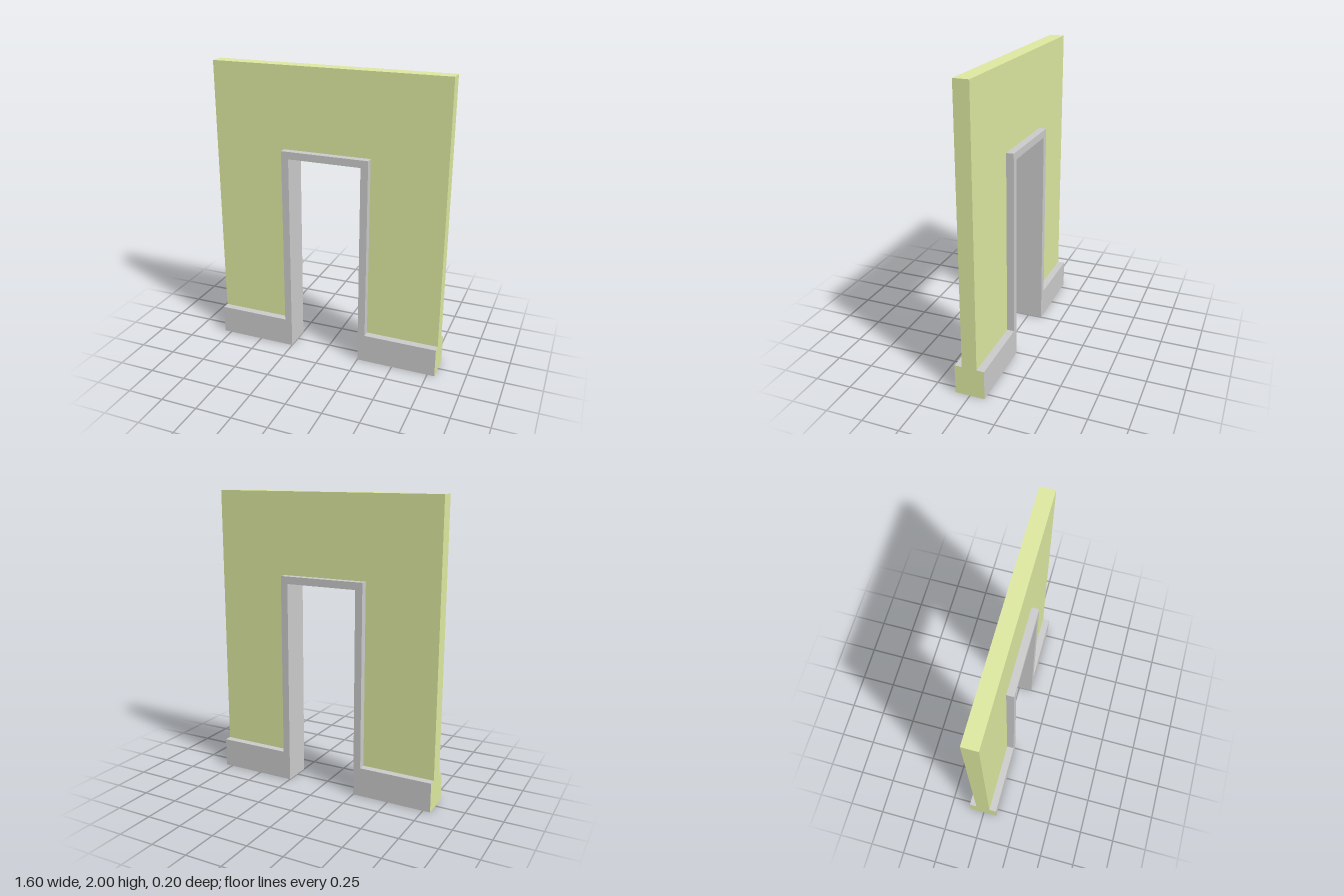
import * as THREE from 'three';

const HALF_W = 0.8, HEIGHT = 2, BASE_H = 0.2;
const OPEN_X = 0.25, OPEN_Y = 1.4, TRIM = 0.05;
const WALL_D = 0.1, TRIM_D = 0.2;

// Closed outline extruded along z and centred on z = 0
function slab(points, depth) {
  const shape = new THREE.Shape(points.map(([x, y]) => new THREE.Vector2(x, y)));
  const geo = new THREE.ExtrudeGeometry(shape, { depth, bevelEnabled: false });
  return geo.translate(0, 0, -depth / 2);
}

// Completes a right-hand outline with its mirror image
const mirrored = (half) => [...half, ...half.map(([x, y]) => [-x, y]).reverse()];

export function createModel() {
  const model = new THREE.Group();
  model.name = 'doorwayWall';
  const green = new THREE.MeshStandardMaterial({ color: 0xdee9a0 });
  const grey = new THREE.MeshStandardMaterial({ color: 0xcccccc });
  const outX = OPEN_X + TRIM, outY = OPEN_Y + TRIM;

  // Wall panel above the skirting, cut around the door frame
  const wall = new THREE.Mesh(slab(mirrored([
    [outX, outY], [outX, BASE_H], [HALF_W, BASE_H], [HALF_W, HEIGHT],
  ]), WALL_D), green);
  wall.name = 'wallPanel';

  // Door frame and skirting in one continuous profile
  const trimGeo = slab(mirrored([
    [OPEN_X, OPEN_Y], [OPEN_X, 0], [HALF_W, 0],
    [HALF_W, BASE_H], [outX, BASE_H], [outX, outY],
  ]), TRIM_D);

  // Cut ends and undersides of the skirting take the wall colour
  const pos = trimGeo.attributes.position;
  trimGeo.clearGroups();
  for (let i = 0; i < pos.count; i += 3) {
    const corners = [i, i + 1, i + 2];
    const isEnd = corners.every((k) => Math.abs(pos.getX(k)) > HALF_W - 1e-4);
    const isUnder = corners.every((k) => pos.getY(k) < 1e-4);
    trimGeo.addGroup(i, 3, isEnd || isUnder ? 1 : 0);
  }
  const trim = new THREE.Mesh(trimGeo, [grey, green]);
  trim.name = 'doorFrameAndSkirting';

  model.add(wall, trim);
  return model;
}
